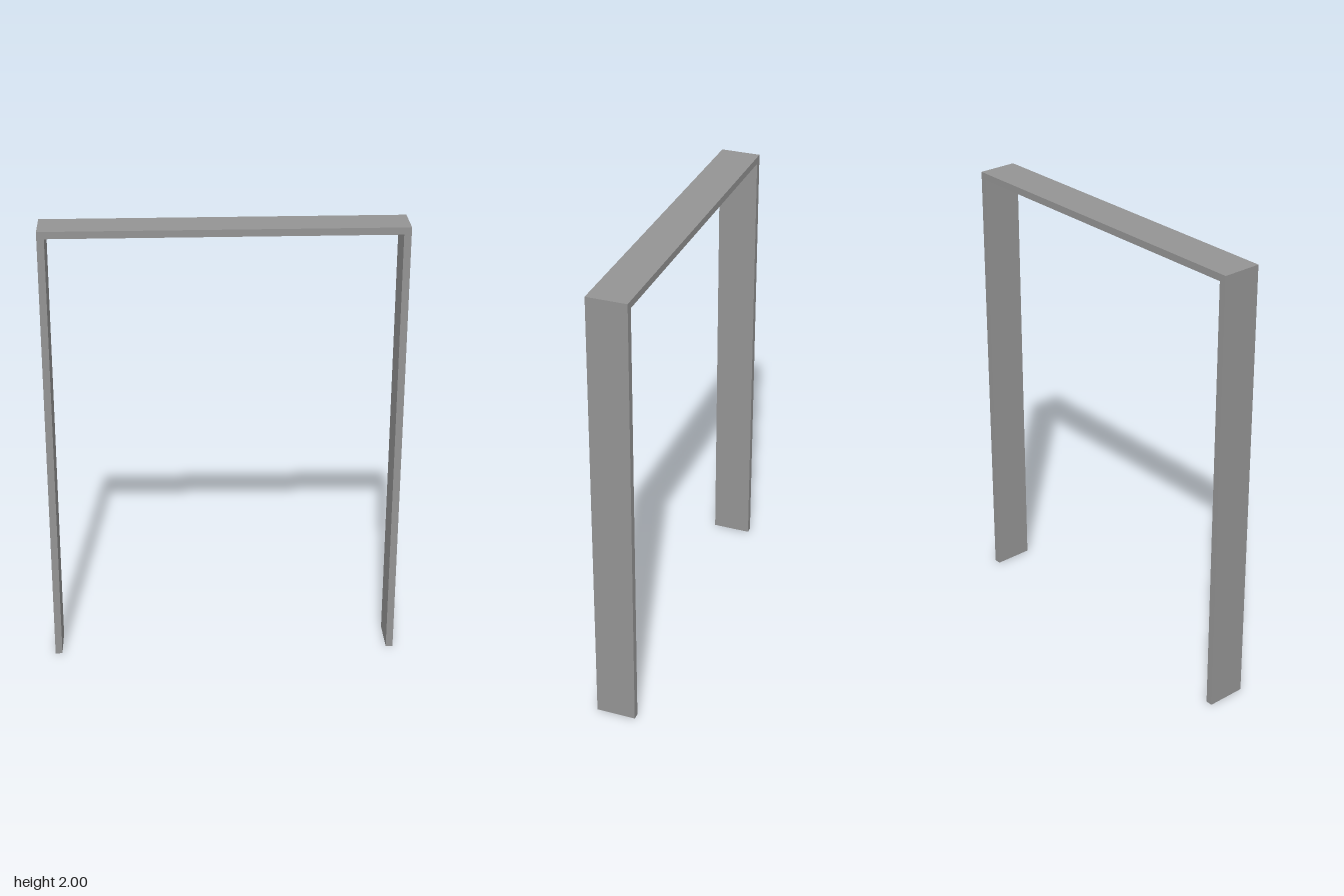
import * as THREE from 'three';

export function createModel() {
  const halfWidth = 0.77, height = 2, depth = 0.174, thickness = 0.031;
  const inner = halfWidth - thickness;

  // Door lining outline: two jambs joined by a head, open at the floor
  const outline = new THREE.Shape([
    [-halfWidth, 0], [-inner, 0], [-inner, height - thickness], [inner, height - thickness],
    [inner, 0], [halfWidth, 0], [halfWidth, height], [-halfWidth, height],
  ].map(([x, y]) => new THREE.Vector2(x, y)));

  const geometry = new THREE.ExtrudeGeometry(outline, { depth, bevelEnabled: false });
  geometry.translate(0, 0, -depth / 2);

  const frame = new THREE.Mesh(geometry, new THREE.MeshStandardMaterial({ color: 0x949494 }));
  frame.name = 'doorFrame';

  const group = new THREE.Group();
  group.name = 'doorway';
  group.add(frame);
  return group;
}
